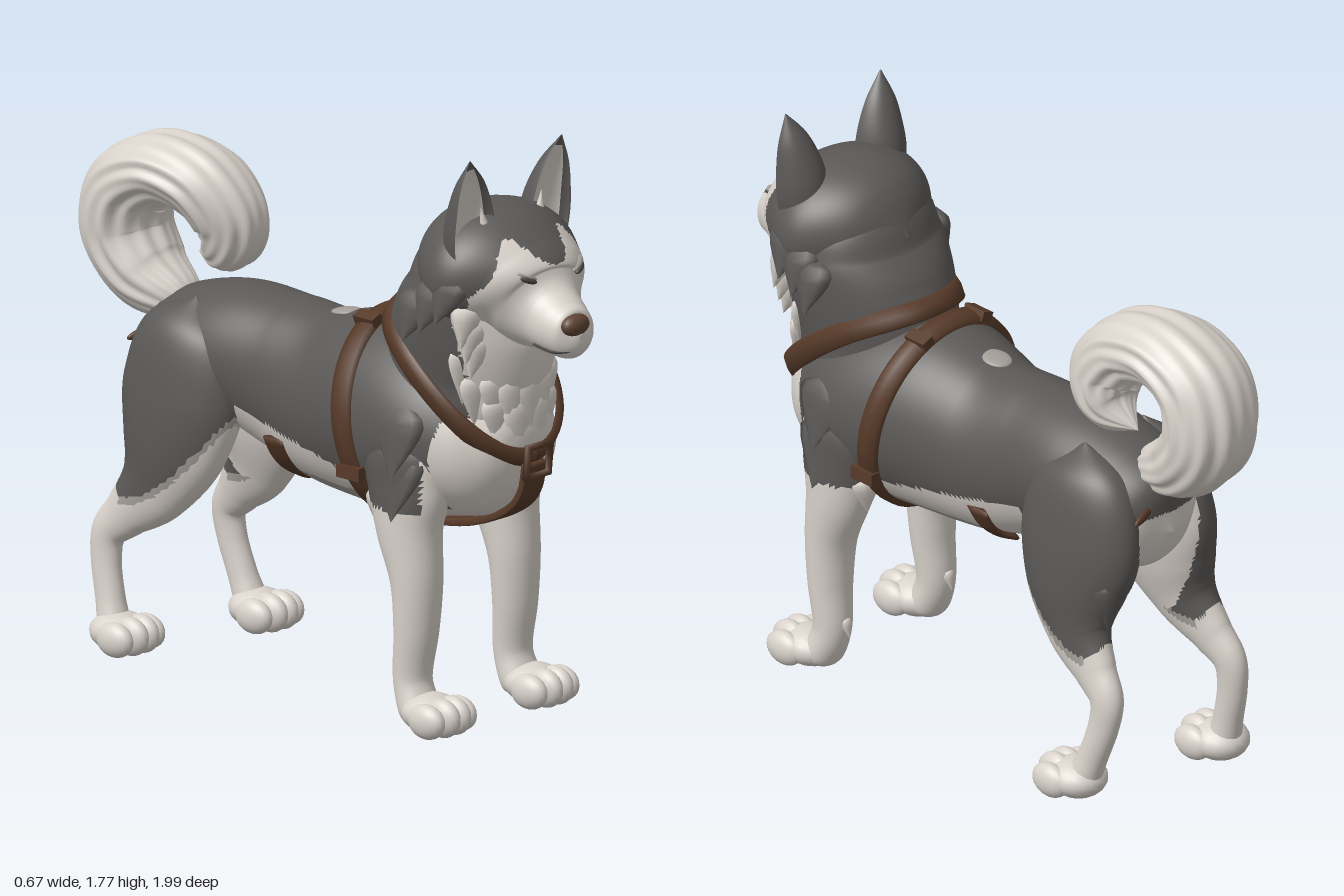
import * as THREE from 'three';

const mat = (name, color) => Object.assign(new THREE.MeshStandardMaterial({ color }), { name });
const V = (x, y, z) => new THREE.Vector3(x, y, z);

export function createModel() {
  const dog = new THREE.Group();
  dog.name = 'dog';
  const dark = mat('darkFur', 0x5b5957);
  const light = mat('lightFur', 0xd9d2cb);
  const grey = mat('greyFur', 0xa39e99);
  const leather = mat('leather', 0x573a29);
  const noseBrown = mat('noseBrown', 0x5f4434);
  const eyeDark = mat('eyeDark', 0x4a4542);
  const furs = [dark, light, grey];
  const DARK = 0, LIGHT = 1, GREY = 2;

  const add = (name, geo, material) => {
    const mesh = new THREE.Mesh(geo, material);
    mesh.name = name;
    dog.add(mesh);
    return mesh;
  };

  // Skin over cross-sections [x, y, z, half width, half depth]; paint picks a fur for each face
  function loft(name, keys, material, { n = 24, m = 24, shape, paint } = {}) {
    const path = new THREE.CatmullRomCurve3(keys.map(k => V(k[0], k[1], k[2])), false, 'catmullrom');
    const radii = new THREE.CatmullRomCurve3(keys.map(k => V(k[3], k[4], 0)), false, 'catmullrom');
    const pos = [], faces = [[], [], []];
    for (let i = 0; i <= n + 2; i++) {
      const t = Math.min(1, Math.max(0, (i - 1) / n));
      const cap = i === 0 || i === n + 2 ? 0 : 1;
      const c = path.getPoint(t), r = radii.getPoint(t), T = path.getTangent(t);
      const S = V(1, 0, 0).addScaledVector(T, -T.x).normalize();
      const U = T.clone().cross(S);
      for (let j = 0; j < m; j++) {
        const a = (j / m) * Math.PI * 2;
        const [s, u] = shape ? shape(a, t) : [Math.cos(a), Math.sin(a)];
        const p = c.clone().addScaledVector(S, s * Math.max(0, r.x) * cap)
          .addScaledVector(U, u * Math.max(0, r.y) * cap);
        pos.push(p.x, p.y, p.z);
      }
    }
    const point = k => V(pos[3 * k], pos[3 * k + 1], pos[3 * k + 2]);
    for (let i = 0; i < n + 2; i++) for (let j = 0; j < m; j++) {
      const a = i * m + j, b = i * m + (j + 1) % m, c = b + m, d = a + m;
      for (const tri of [[a, b, c], [a, c, d]]) {
        const mid = point(tri[0]).add(point(tri[1])).add(point(tri[2])).divideScalar(3);
        faces[paint ? paint(mid, ((j + 0.5) / m) * Math.PI * 2, i / (n + 2)) : 0].push(...tri);
      }
    }
    const geo = new THREE.BufferGeometry();
    geo.setAttribute('position', new THREE.Float32BufferAttribute(pos, 3));
    geo.setIndex(faces.flat());
    geo.computeVertexNormals();
    if (paint) {
      let start = 0;
      faces.forEach((f, k) => { if (f.length) geo.addGroup(start, f.length, k); start += f.length; });
    }
    return add(name, geo, paint ? furs : material);
  }
  const blob = (name, material, p, r) => {
    const b = add(name, new THREE.SphereGeometry(1, 20, 14), material);
    b.position.set(...p);
    b.scale.set(...r);
    return b;
  };
  // Pointed lock of fur with its base sunk in the skin
  const tuft = (name, material, p, d, wide, deep) => loft(name, [
    [...p, 0, 0], [p[0] + d[0] * 0.3, p[1] + d[1] * 0.3, p[2] + d[2] * 0.3, wide, deep],
    [p[0] + d[0], p[1] + d[1], p[2] + d[2], 0, 0]], material, { n: 8, m: 8 });
  // Depth of the skins seen along z from the front (1) or the back (-1)
  const depth = (meshes, x, y, from) =>
    new THREE.Raycaster(V(x, y, 2 * from), V(0, 0, -from)).intersectObjects(meshes)[0].point.z;

  // Torso, from chest to rump
  const torso = loft('torso', [[0, .825, .755, 0, 0], [0, .828, .735, .1, .1], [0, .835, .69, .17, .17], [0, .845, .6, .238, .225],
    [0, .87, .45, .283, .28], [0, .88, .25, .272, .30], [0, .865, 0, .225, .268], [0, .9, -.2, .2, .24],
    [0, .93, -.4, .21, .21], [0, .89, -.58, .2, .2], [0, .86, -.69, .14, .15], [0, .85, -.735, 0, 0]], null, {
    n: 160, m: 96, paint: p => {
      const x = Math.abs(p.x);
      if (p.z > 0.57 + 0.25 * Math.max(0, p.y - 0.85)) return LIGHT;
      if (p.z > 0.3) return p.y < 0.67 ? LIGHT : DARK;
      if (p.z > -0.28) return p.y < 0.66 ? (x < .05 ? LIGHT : GREY) : p.y < 0.77 - 0.18 * p.z ? LIGHT : DARK;
      return p.y < 0.78 || (p.z < -0.6 && x < 0.12 && p.y < 0.92) ? LIGHT : DARK;
    },
  });

  // Neck with a pale ruff in front
  loft('neck', [[0, .8, .5, 0, 0], [0, .92, .49, .2, .22], [0, 1.08, .50, .222, .255], [0, 1.22, .53, .24, .248],
    [0, 1.34, .55, .24, .2], [0, 1.45, .55, .19, .15], [0, 1.56, .56, 0, 0]], null, {
    n: 60, m: 72, paint: p => (p.z > 0.66 - 0.12 * Math.max(0, p.y - 1.15) ? LIGHT : DARK),
  });
  [[1.2, 0.95, 6], [1.11, 0.8, 7], [1.04, 0.5, 4]].forEach(([y, spread, count]) => {
    for (let i = 0; i < count; i++) {
      const a = (i / (count - 1) * 2 - 1) * spread;
      tuft('ruffTuft', light, [Math.sin(a) * .195, y, .49 + Math.cos(a) * .235],
        [Math.sin(a) * .03, -.19 - .04 * Math.cos(a * 5), .02], .06, .028);
    }
  });

  // Head and muzzle in one skin, the muzzle turned slightly aside
  const head = loft('head', [[0, 1.4, .37, 0, 0], [0, 1.4, .44, .155, .13], [0, 1.4, .55, .25, .19], [0, 1.385, .64, .268, .2],
    [0, 1.35, .73, .217, .172], [-.005, 1.31, .79, .15, .142], [-.015, 1.285, .85, .105, .108],
    [-.03, 1.267, .92, .086, .088], [-.038, 1.262, .97, .064, .07], [-.042, 1.265, .995, 0, 0]], null, {
    n: 110, m: 96, paint: p => {
      const x = Math.abs(p.x);
      const brow = 1.445 + 0.08 * Math.exp(-(((x - 0.11) / 0.05) ** 2)) - Math.max(0, x - 0.16) * 1.2;
      const cheek = 0.71 - 0.5 * Math.max(0, 1.34 - p.y);
      return p.z > cheek && p.y < brow ? LIGHT : DARK;
    },
  });
  blob('nose', noseBrown, [-.045, 1.292, .972], [.052, .034, .032]);
  loft('mouth', [[-.115, 1.228, .87], [-.098, 1.212, .94], [-.04, 1.218, .984], [.018, 1.212, .94], [.075, 1.228, .87]]
    .map(p => [...p, .004, .004]), eyeDark, { n: 24, m: 6 });

  for (const s of [1, -1]) {
    const side = s > 0 ? 'left' : 'right';

    // Eye with a shaded lid
    const eyeZ = depth([head], s * .1, 1.412, 1);
    blob(side + 'Eye', eyeDark, [s * .1, 1.412, eyeZ], [.03, .01, .013]).rotation.set(0, s * .5, s * .35);
    blob(side + 'Lid', grey, [s * .1, 1.423, eyeZ - .012], [.042, .011, .018]).rotation.set(0, s * .5, s * .35);

    // Cupped ear, pale inside with a dark rim
    loft(side + 'Ear', [[s * .155, 1.42, .67, .07, .1], [s * .16, 1.5, .675, .083, .1], [s * .165, 1.58, .68, .08, .092],
      [s * .18, 1.68, .685, .053, .055], [s * .195, 1.765, .69, .002, .002]], null, {
      n: 30, m: 48,
      shape: a => [Math.cos(a), Math.sin(a) > 0 ? Math.sin(a) : -.45 * Math.sin(a)],
      paint: (p, a, t) => (Math.sin(a) < -.58 && t < .86 ? LIGHT : DARK),
    });
    tuft('earTuft', light, [s * .1, 1.47, .68], [s * .03, .14, -.01], .022, .018);

    // Shaggy cheeks, shoulders and elbows
    for (let i = 0; i < 3; i++) {
      tuft('cheekTuft', dark, [s * (.205 + i * .006), 1.43 - i * .035, .65 - i * .06], [s * .08, -.16, -.02], .04, .07);
      tuft('paleCheekTuft', light, [s * (.19 - i * .02), 1.33 - i * .05, .675], [s * .05, -.13, .02], .05, .04);
    }
    for (let i = 0; i < 2; i++)
      tuft('shoulderTuft', dark, [s * .24, 1.0 - i * .13, .46], [s * .062, -.23, .01], .025, .1);
    tuft('elbowTuft', light, [s * .21, .72, .35], [0, -.14, -.02], .05, .04);
    tuft('wristTuft', light, [s * .21, .2, .43], [0, -.07, -.025], .02, .015);

    // Front leg
    loft(side + 'FrontLeg', [[s * .17, .95, .42, 0, 0], [s * .18, .85, .43, .1, .15], [s * .195, .72, .445, .1, .14],
      [s * .205, .6, .455, .09, .108], [s * .207, .45, .485, .08, .078], [s * .21, .3, .487, .07, .066],
      [s * .213, .15, .475, .06, .057], [s * .216, .05, .51, .065, .055], [s * .216, .01, .52, .02, .02]], null, {
      n: 60, m: 40, paint: p => (p.y > .67 && p.z < .55 ? DARK : LIGHT),
    });

    // Hind leg; the right one stands further back
    const back = y => (s < 0 ? -.13 * Math.max(0, 1 - y / .85) : 0);
    const hind = [[.12, 1.1, -.49, 0, 0], [.13, 1.0, -.5, .095, .17], [.15, .82, -.505, .115, .22],
      [.17, .65, -.505, .105, .185], [.19, .52, -.54, .075, .125], [.205, .42, -.62, .053, .078],
      [.215, .35, -.675, .044, .058], [.22, .26, -.668, .04, .05], [.225, .15, -.63, .042, .047],
      [.23, .05, -.59, .05, .05], [.23, .01, -.58, .02, .02]];
    const leg = loft(side + 'HindLeg', hind.map(([x, y, z, a, b]) => [s * x, y, z + back(y), a, b]), null, {
      n: 100, m: 60, paint: p => {
        const x = p.x * s, z = p.z - back(p.y);
        if (x < .12 && p.y < .92) return LIGHT;
        const edge = .48 + (z > -.62 ? 2.6 : 25) * (z + .62) ** 2;
        return p.y > Math.min(edge, .84) ? DARK : p.y > edge - .025 && z > -.62 ? GREY : LIGHT;
      },
    });
    tuft('thighTuft', dark, [s * .19, .76, -.64], [0, -.2, -.015], .05, .05);

    // Small strap end showing beside the tail root
    const strapEnd = blob('rumpStrap', leather, [s * .1, .94, depth([torso, leg], s * .1, .94, -1)], [.06, .016, .012]);
    strapEnd.rotation.set(0, s * .3, -s * .2);

    // Paws with four toes
    const paw = (name, x, z) => {
      blob(name, light, [x, .06, z], [.088, .06, .092]);
      for (let i = 0; i < 4; i++) {
        const o = i - 1.5, middle = Math.abs(o) < 1;
        blob(name + 'Toe', light, [x + o * .045, middle ? .06 : .054, z + (middle ? .065 : .045)],
          [.036, middle ? .059 : .053, .068]);
      }
    };
    paw(side + 'FrontPaw', s * .218, .555);
    paw(side + 'HindPaw', s * .23, -.57 + back(.03));

    // Short flank strap
    loft(side + 'FlankStrap', [.48, .75, 1, 1.3].map(f =>
      [s * .218 * Math.cos(f), .88 - .268 * Math.sin(f), -.11, .012, .04]), leather, { n: 12, m: 16 });
  }

  // Curled bushy tail with combed ridges
  loft('tail', [[0, 1.0, -.56, 0, 0], [-.01, 1.04, -.66, .08, .07], [-.02, 1.1, -.78, .13, .11], [-.025, 1.22, -.862, .148, .122],
    [-.03, 1.36, -.83, .152, .118], [-.02, 1.435, -.7, .148, .102], [0, 1.405, -.56, .135, .105],
    [.03, 1.3, -.49, .11, .11], [.045, 1.21, -.53, .085, .08], [.05, 1.17, -.64, 0, 0]], light, {
    n: 110, m: 72, shape: (a, t) => {
      const r = 1 + .03 * Math.sin(9 * a + 5 * t) + .03 * Math.sin(14 * a - 9 * t);
      return [r * Math.cos(a), r * Math.sin(a)];
    },
  });

  // Pale spot on the back
  blob('backSpot', grey, [-.01, 1.134, .015], [.042, .01, .05]).rotation.x = -.12;

  // Harness rings: a section swept round an ellipse, its sides lifted along the axis by lift
  const band = (name, y, z, rx, rz, tilt, w, lift) => {
    const profile = [[.94, -w], [1.03, -w], [1.045, 0], [1.03, w], [.94, w]].map(p => new THREE.Vector2(...p));
    const geo = new THREE.LatheGeometry(profile, 72);
    const pos = geo.attributes.position;
    for (let i = 0; i < pos.count; i++) pos.setY(i, pos.getY(i) + lift * pos.getX(i) ** 2);
    geo.scale(rx, 1, rz);
    geo.rotateX(tilt);
    geo.translate(0, y, z);
    geo.computeVertexNormals();
    add(name, geo, leather);
  };
  band('girthStrap', .882, .255, .283, .312, 1.4, .033, 0);
  band('neckStrap', 1.03, .5, .238, .32, .675, .032, .05);
  const flat = a => [Math.cos(a), Math.sin(a)].map(c => Math.sign(c) * Math.abs(c) ** .3);
  loft('chestStrap', [[0, .82, .764], [0, .74, .748], [0, .68, .705], [0, .625, .61], [0, .587, .48], [0, .567, .28]]
    .map(p => [...p, .046, .012]), leather, { n: 40, m: 24, shape: flat });
  const buckle = add('chestBuckle', new THREE.TorusGeometry(.066, .013, 8, 4).rotateZ(Math.PI / 4), leather);
  buckle.position.set(0, .83, .78);
  buckle.rotation.x = .1;
  for (const s of [1, -1]) {
    const top = add('topKeeper', new THREE.BoxGeometry(.04, .03, .08), leather);
    top.position.set(s * .12, 1.172, .205);
    top.rotation.z = -s * .4;
    const low = add('sideKeeper', new THREE.BoxGeometry(.03, .04, .09), leather);
    low.position.set(s * .272, .75, .28);
  }
  return dog;
}
